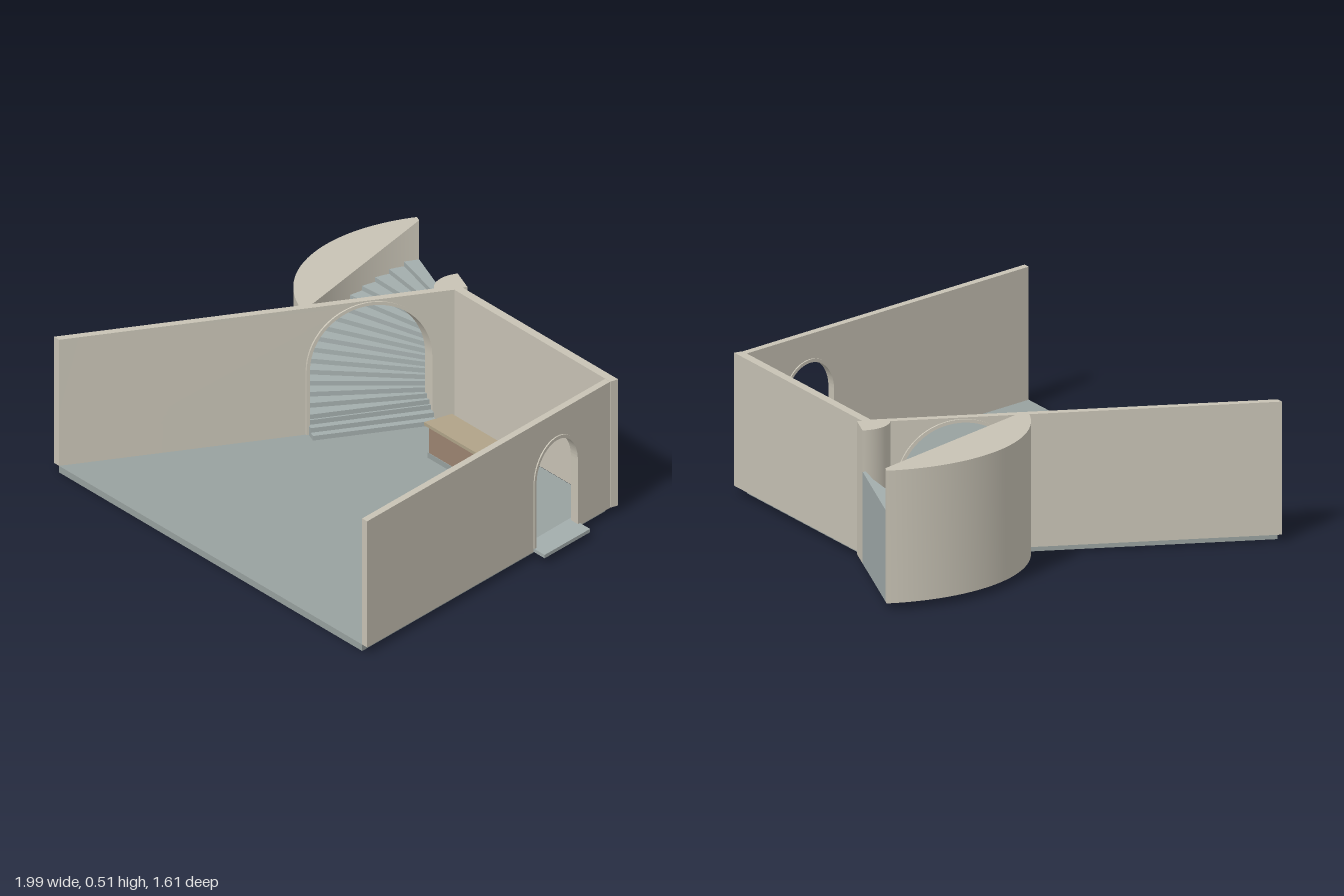
import * as THREE from 'three';
import { toCreasedNormals } from 'three/addons/utils/BufferGeometryUtils.js';

const BASE = 0.025, TOP = 0.51, RISE = 0.0176;
const mat = (color) => new THREE.MeshStandardMaterial({ color, side: THREE.DoubleSide });

export function createModel() {
  const model = new THREE.Group();
  const stone = mat(0xc8c3b5), slate = mat(0x98a19f), stepStone = mat(0xa3adac);
  const wood = mat(0x9c8472), woodTop = mat(0xb0a388);

  const add = (name, geometry, material, parent = model) => {
    const mesh = new THREE.Mesh(geometry, material);
    mesh.name = name;
    parent.add(mesh);
    return mesh;
  };
  const box = (name, x0, x1, y0, y1, z0, z1, material, parent) =>
    add(name, new THREE.BoxGeometry(x1 - x0, y1 - y0, z1 - z0)
      .translate((x0 + x1) / 2, (y0 + y1) / 2, (z0 + z1) / 2), material, parent);

  // Upright prism over a plan outline of [x, z] points
  const planShape = (pts) => new THREE.Shape(pts.map(([x, z]) => new THREE.Vector2(x, -z)));
  const prism = (name, pts, y0, y1, material, parent) => {
    const g = new THREE.ExtrudeGeometry(planShape(pts), { depth: y1 - y0, bevelEnabled: false });
    g.rotateX(-Math.PI / 2).translate(0, y0, 0);
    return add(name, toCreasedNormals(g, 0.4), material, parent);
  };

  // Round-headed arch outline standing on the floor
  const arch = (path, u, r, spring) => {
    path.moveTo(u - r, BASE);
    path.lineTo(u + r, BASE);
    path.lineTo(u + r, spring);
    path.absarc(u, spring, r, 0, Math.PI, false);
    path.lineTo(u - r, BASE);
    return path;
  };

  // Side wall with an arched doorway; the thickness runs along x so the ends stay flush
  const archedWall = (name, [x0, z0], [x1, z1], thick, u, r, spring) => {
    const len = Math.hypot(x1 - x0, z1 - z0);
    const place = new THREE.Matrix4().makeBasis(
      new THREE.Vector3((x1 - x0) / len, 0, (z1 - z0) / len),
      new THREE.Vector3(0, 1, 0), new THREE.Vector3(thick, 0, 0)).setPosition(x0, 0, z0);
    const extrude = (shape, from, to) => toCreasedNormals(
      new THREE.ExtrudeGeometry(shape, { depth: to - from, bevelEnabled: false, curveSegments: 32 })
        .translate(0, 0, from).applyMatrix4(place), 0.4);

    // wall outline runs around the doorway, which is open at the floor
    const wall = new THREE.Shape();
    wall.moveTo(0, BASE);
    wall.lineTo(u - r, BASE);
    wall.lineTo(u - r, spring);
    wall.absarc(u, spring, r, Math.PI, 0, true);
    wall.lineTo(u + r, BASE);
    wall.lineTo(len, BASE);
    wall.lineTo(len, TOP);
    wall.lineTo(0, TOP);
    add(name, extrude(wall, 0, 1), stone);

    // slim trim lining the doorway
    const trim = new THREE.Shape();
    const inner = r - 0.012;
    trim.moveTo(u - r, BASE);
    trim.lineTo(u - r, spring);
    trim.absarc(u, spring, r, Math.PI, 0, true);
    trim.lineTo(u + r, BASE);
    trim.lineTo(u + inner, BASE);
    trim.lineTo(u + inner, spring);
    trim.absarc(u, spring, inner, 0, Math.PI, false);
    trim.lineTo(u - inner, BASE);
    add(name + 'ArchTrim', extrude(trim, -0.2, 1.2), stone);
  };

  // Floor and walls
  prism('floor', [[-0.86, 0.8], [0.965, 0.8], [0.51, -0.565], [-0.4, -0.565]], 0, BASE, slate);
  box('backWall', -0.4, 0.54, BASE, TOP, -0.6, -0.566, stone);
  archedWall('rightStairWall', [-0.388, -0.6], [-0.86, 0.8], -0.032, 0.343, 0.235, 0.27);
  archedWall('leftDoorWall', [0.965, 0.8], [0.51, -0.565], 0.03, 1.12, 0.134, 0.285);

  // Doorstep of the small door
  prism('doorstep', [[0.55, -0.39], [0.665, -0.39], [0.75, -0.135], [0.638, -0.135]],
    BASE, 0.038, stepStone);

  // Counter
  const counter = new THREE.Group();
  counter.name = 'counter';
  model.add(counter);
  box('counterPlinth', -0.17, 0.27, BASE, 0.045, -0.392, -0.288, slate, counter);
  box('counterBody', -0.165, 0.265, 0.045, 0.148, -0.39, -0.29, wood, counter);
  box('counterTop', -0.18, 0.28, 0.148, 0.16, -0.4, -0.28, woodTop, counter);

  // Straight steps passing through the large arch
  const straight = new THREE.Group();
  straight.name = 'straightSteps';
  straight.position.set(-0.4977, 0, -0.275);
  straight.rotation.y = -0.324;
  model.add(straight);
  for (let k = 0; k < 3; k++) {
    box('straightStep', -0.034, 0.055 - 0.028 * k, BASE + RISE * k, BASE + RISE * (k + 1),
      -0.225, 0.225, stepStone, straight);
  }

  // Winding stair: wedge steps around a newel, inside a quarter-round tower
  const tower = new THREE.Group();
  tower.name = 'stairTower';
  model.add(tower);
  const CX = -0.392, CZ = -0.617, A0 = 1.895, A1 = A0 + Math.PI / 2;
  const arc = (r, a, b, n) => Array.from({ length: n + 1 }, (_, i) => {
    const t = a + (b - a) * i / n;
    return [CX + r * Math.cos(t), CZ + r * Math.sin(t)];
  });
  const STEPS = 16, da = (A1 - A0) / STEPS;
  for (let k = 0; k < STEPS; k++) {
    const a = A0 + k * da, b = a + da;
    prism('windingStep', [...arc(0.1, a, b, 1), ...arc(0.582, b, a, 3)],
      BASE, BASE + RISE * (k + 4), stepStone, tower);
  }
  prism('newel', [[CX, CZ], ...arc(0.117, A0, A1, 16)], BASE, TOP, stone, tower);
  prism('towerWall', [...arc(0.58, A0, A1, 40), ...arc(0.608, A1, A0, 40)],
    BASE, TOP - 0.001, stone, tower);

  // Flat cap reaching from the curved wall to its chord
  const cap = planShape([...arc(0.58, A0, A1, 1), ...arc(0.608, A1, A0, 40)]);
  add('towerCap', new THREE.ShapeGeometry(cap).rotateX(-Math.PI / 2).translate(0, TOP, 0),
    stone, tower);

  return model;
}
